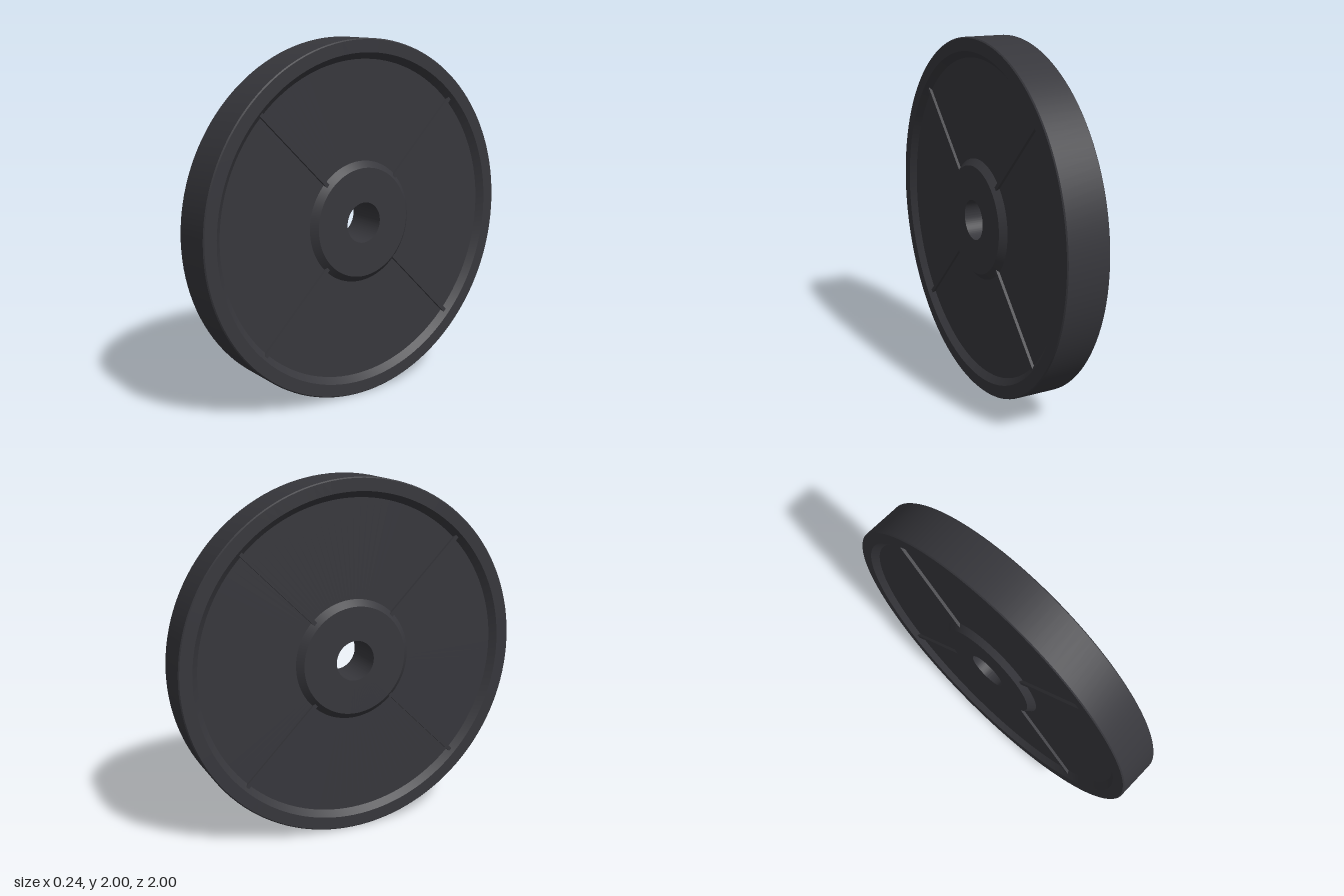
import * as THREE from 'three';
import { toCreasedNormals } from 'three/addons/utils/BufferGeometryUtils.js';

const HALF = 0.12;      // half thickness of the disc
const WEB = 0.087;      // half thickness of the recessed web
const RIB_TOP = 0.103;  // height of the ribs from the mid plane

export function createModel() {
  const group = new THREE.Group();
  group.name = 'weightPlate';
  const rubber = new THREE.MeshStandardMaterial({ color: 0x37373c });
  rubber.name = 'charcoal rubber';

  // Half section from the bore out to the rim: [radius, distance from mid plane]
  const half = [
    [0.113, HALF], [0.305, HALF], [0.34, WEB],
    [0.89, WEB], [0.925, HALF], [0.994, HALF], [1, HALF - 0.006],
  ];
  const section = [
    ...half.map(([r, h]) => new THREE.Vector2(r, -h)),
    ...half.slice().reverse().map(([r, h]) => new THREE.Vector2(r, h)),
    new THREE.Vector2(half[0][0], -HALF),
  ];

  // Disc with raised rim, raised hub and through bore
  const discGeometry = toCreasedNormals(new THREE.LatheGeometry(section, 128), 0.5);
  discGeometry.rotateZ(-Math.PI / 2);
  const disc = new THREE.Mesh(discGeometry, rubber);
  disc.name = 'disc';
  disc.position.y = 1;
  group.add(disc);

  // Four thin diagonal ribs on each face
  const inner = 0.322, outer = 0.908, sink = 0.01;
  const ribHeight = RIB_TOP - WEB + sink;
  const ribGeometry = new THREE.BoxGeometry(ribHeight, outer - inner, 0.022);
  ribGeometry.translate(0, (inner + outer) / 2, 0);
  for (const side of [-1, 1]) {
    for (let i = 0; i < 4; i++) {
      const rib = new THREE.Mesh(ribGeometry, rubber);
      rib.name = 'rib';
      rib.position.set(side * (RIB_TOP - ribHeight / 2), 1, 0);
      rib.rotation.x = Math.PI / 4 + i * Math.PI / 2;
      group.add(rib);
    }
  }
  return group;
}
